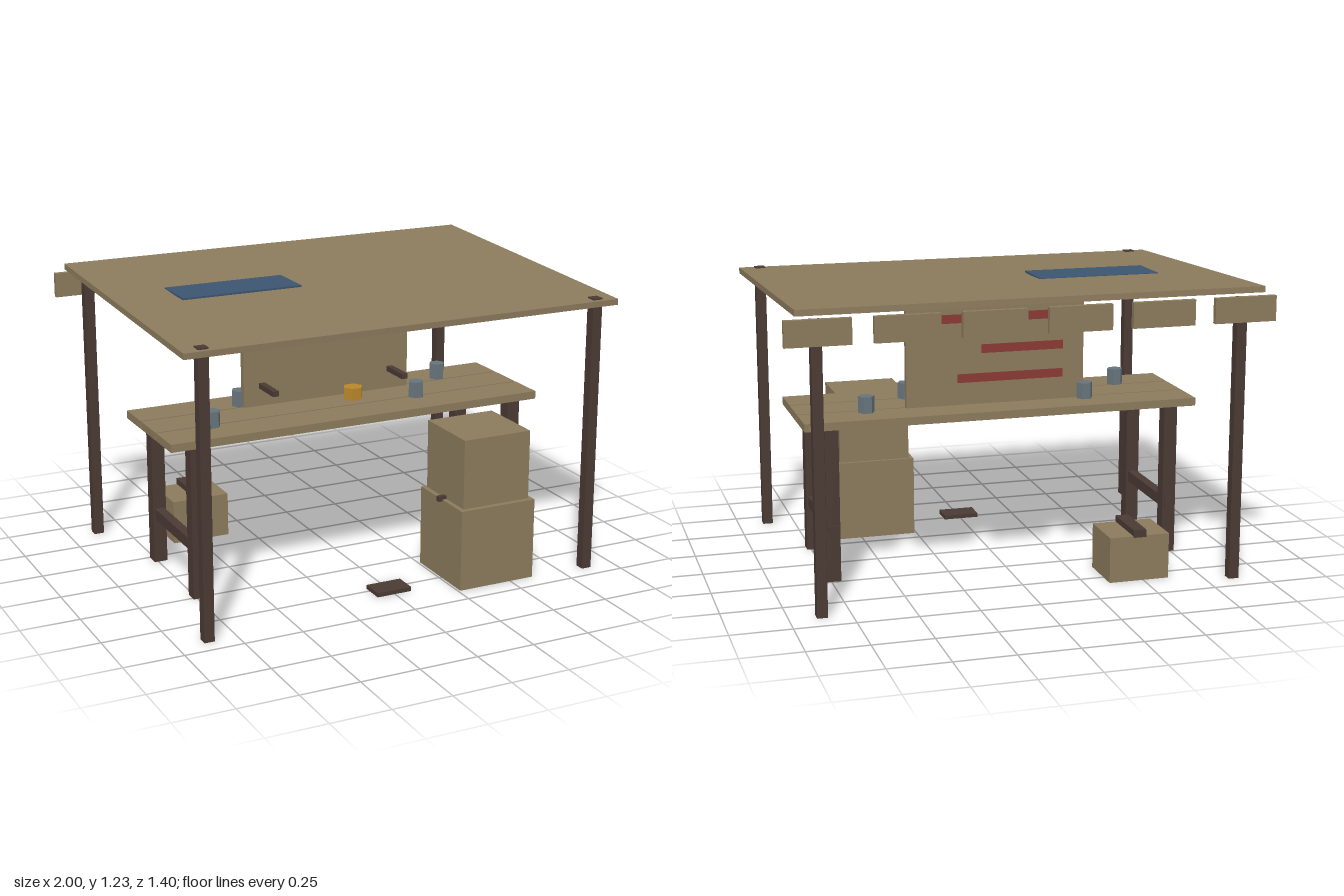
import * as THREE from 'three';

const mat = (name, color) => {
  const m = new THREE.MeshStandardMaterial({ color });
  m.name = name;
  return m;
};

export function createModel() {
  const wood = mat('weathered wood', 0x8b7a5c);
  const dark = mat('dark timber', 0x4a3a34);
  const metal = mat('grey metal', 0x66737c);
  const blue = mat('blue tarp', 0x3c5570);
  const amber = mat('amber', 0xb8862b);
  const red = mat('red paint', 0x8a3a32);

  const model = new THREE.Group();
  model.name = 'marketStall';

  const add = (name, geometry, material, x, y, z) => {
    const mesh = new THREE.Mesh(geometry, material);
    mesh.name = name;
    mesh.position.set(x, y, z);
    model.add(mesh);
    return mesh;
  };
  // Box given by its centre in x and z, and its bottom height
  const box = (name, material, w, h, d, x, bottom, z) =>
    add(name, new THREE.BoxGeometry(w, h, d), material, x, bottom + h / 2, z);
  // Six-sided pot with a flat side to the front
  const pot = (name, material, r, h, x, z) => {
    const g = new THREE.CylinderGeometry(r, r, h, 6).toNonIndexed();
    g.rotateY(Math.PI / 6);
    g.computeVertexNormals();
    add(name, g, material, x, 0.68 + h / 2, z);
  };

  // Sloping roof with a patch lying on it
  const roof = box('roof', wood, 1.91, 0.025, 1.388, 0, 1.1805, 0.006);
  roof.rotation.x = 0.04;
  box('roofPatch', blue, 0.525, 0.008, 0.207, -0.437, 1.207, -0.053);

  // Row of boards hanging at the back
  for (let i = 0; i < 6; i++) {
    box('backBoard', wood, 0.262, 0.104, 0.024, (i - 2.5) * 0.3476, 1.091, -0.688);
  }

  // Posts, table legs, stretchers and sign brackets, mirrored
  for (const s of [-1, 1]) {
    for (const z of [0.66, -0.642]) box('roofPost', dark, 0.043, 1.185, 0.043, s * 0.869, 0, z);
    for (const z of [0.235, -0.217]) box('tableLeg', dark, 0.058, 0.645, 0.058, s * 0.738, 0, z);
    box('stretcher', dark, 0.04, 0.048, 0.519, s * 0.738, 0.195, 0.008);
    box('signBracket', dark, 0.027, 0.023, 0.145, s * 0.304 - 0.003, 0.757, 0.006);
  }

  // Table top of three planks
  for (const z of [0.1815, 0.008, -0.1655]) box('tablePlank', wood, 1.698, 0.034, 0.165, 0, 0.646, z);

  // Sign panel with painted stripes on its back
  box('signPanel', wood, 0.778, 0.437, 0.03, -0.002, 0.68, -0.079);
  [[0.275, 1.05], [0.06, 0.917], [0.165, 0.794]].forEach(([end, y]) =>
    box('signStripe', red, end + 0.298, 0.037, 0.004, (end - 0.298) / 2, y - 0.0185, -0.096));

  // Pots on the table
  [[-0.61, 0.112], [0.345, 0.1], [-0.392, -0.11], [0.563, -0.11]].forEach(([x, z]) =>
    pot('metalPot', metal, 0.035, 0.069, x, z));
  pot('amberPot', amber, 0.0435, 0.053, 0.087, 0.009);

  // Stacked crates with a bar between them
  box('lowerCrate', wood, 0.348, 0.348, 0.348, 0.434, 0, 0.489);
  box('upperCrate', wood, 0.31, 0.297, 0.31, 0.435, 0.348, 0.485);
  box('crateBar', dark, 0.378, 0.022, 0.02, 0.432, 0.34, 0.488);

  // Small crate with a handle, behind the table
  box('smallCrate', wood, 0.258, 0.193, 0.219, -0.481, 0, -0.468);
  box('crateHandle', dark, 0.055, 0.031, 0.227, -0.481, 0.188, -0.47);

  // Slab on the ground
  box('groundSlab', dark, 0.156, 0.018, 0.1, -0.002, 0, 0.525);

  return model;
}
